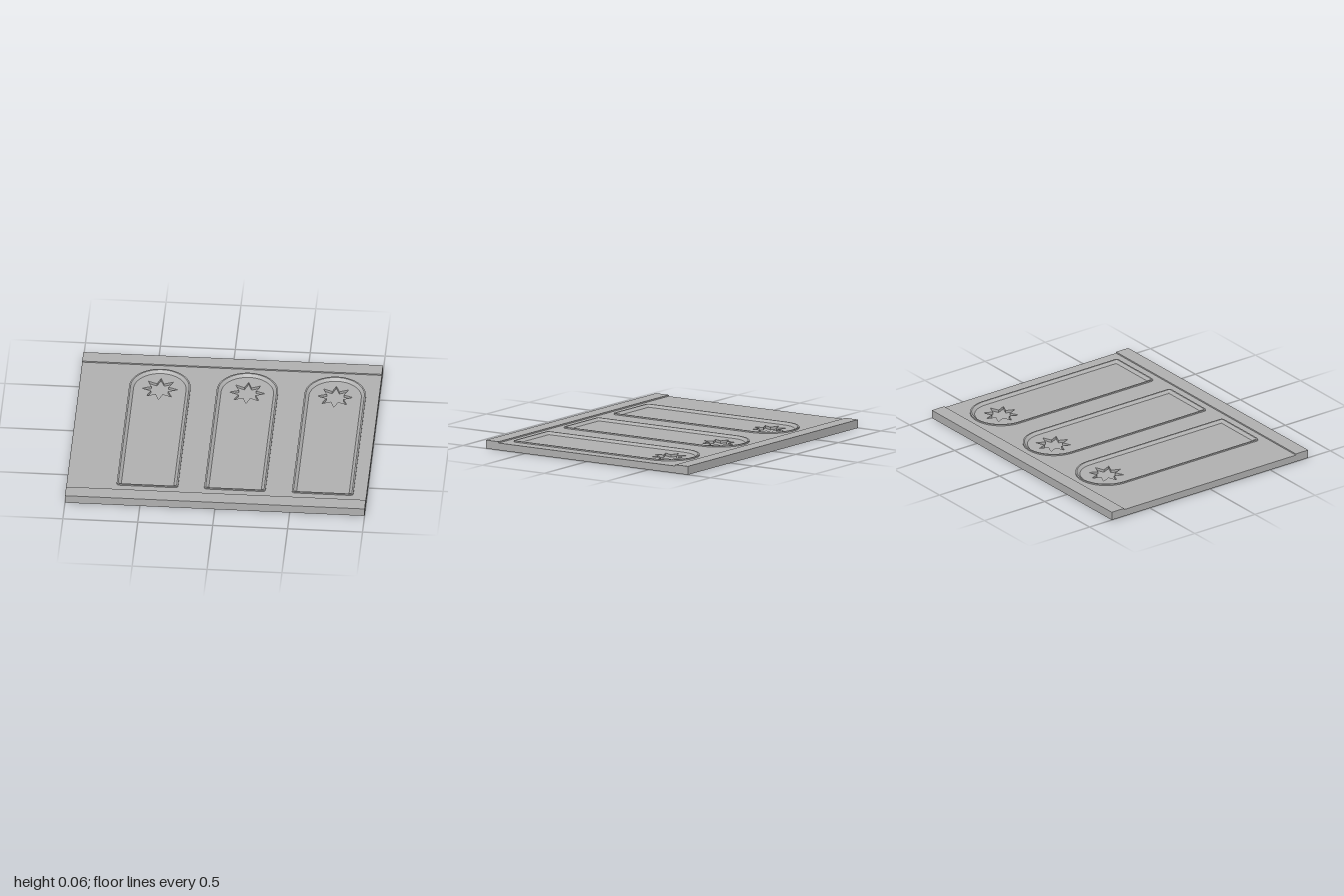
import * as THREE from 'three';

const HALF_X = 1, HALF_Z = 0.816, RAIL_Z = 0.714;
const PIT_Y = 0.022, FLOOR_Y = 0.04, FIELD_Y = 0.048, TOP_Y = 0.057;
const ARCH_X = [-0.463, 0.121, 0.707];
const ARCH_HALF = 0.205, ARCH_Z = 0.461, ARCH_END = -0.658;

// Arched outline, counter-clockwise in plan (y of the plan = -z), inset by d
function archOutline(cx, d) {
  const w = ARCH_HALF - d, end = ARCH_END + d, r = Math.max(0.02 - d, 0.0005);
  const pts = [];
  const arc = (x, y, radius, from, to, n) => {
    for (let i = 0; i <= n; i++) {
      const a = from + (to - from) * i / n;
      pts.push(new THREE.Vector2(x + radius * Math.cos(a), y + radius * Math.sin(a)));
    }
  };
  arc(cx, ARCH_Z, w, 0, Math.PI, 32);
  arc(cx - w + r, end + r, r, Math.PI, Math.PI * 1.5, 4);
  arc(cx + w - r, end + r, r, Math.PI * 1.5, Math.PI * 2, 4);
  return pts;
}

// Eight-pointed star in plan
function starOutline(cx) {
  return Array.from({ length: 16 }, (_, i) => {
    const r = i % 2 ? 0.062 : 0.119, a = i * Math.PI / 8;
    return new THREE.Vector2(cx + r * Math.cos(a), ARCH_Z + r * Math.sin(a));
  });
}

// Plate lying flat between two heights, with optional holes
function plate(outline, holes, y0, y1) {
  const shape = new THREE.Shape(outline);
  shape.holes = holes.map((h) => new THREE.Path(h));
  const geo = new THREE.ExtrudeGeometry(shape, { depth: y1 - y0, bevelEnabled: false });
  return geo.rotateX(-Math.PI / 2).translate(0, y0, 0);
}

// Raised molding: upright outer wall, narrow flat crest, slope down to the panel
function moldingGeometry(cx) {
  const rings = [[0, FIELD_Y - 0.002], [0, TOP_Y], [0.01, TOP_Y], [0.03, FLOOR_Y]]
    .map(([d, y]) => archOutline(cx, d).map((p) => [p.x, y, -p.y]));
  const pos = [];
  for (let k = 0; k < rings.length - 1; k++) {
    const lo = rings[k], hi = rings[k + 1], n = lo.length;
    for (let i = 0; i < n; i++) {
      const j = (i + 1) % n;
      pos.push(...lo[i], ...lo[j], ...hi[j], ...lo[i], ...hi[j], ...hi[i]);
    }
  }
  const geo = new THREE.BufferGeometry();
  geo.setAttribute('position', new THREE.Float32BufferAttribute(pos, 3));
  geo.computeVertexNormals();
  return geo;
}

export function createModel() {
  const group = new THREE.Group();
  const stone = new THREE.MeshStandardMaterial({ color: 0xb0b0b0 });
  stone.name = 'plain grey';
  const add = (name, geo) => {
    const mesh = new THREE.Mesh(geo, stone);
    mesh.name = name;
    group.add(mesh);
    return mesh;
  };

  // Backing slab, also the bottom of the star recesses
  add('backing', new THREE.BoxGeometry(HALF_X * 2, PIT_Y, HALF_Z * 2)).position.y = PIT_Y / 2;

  // Field between the rails, pierced by the three arches
  const field = [[-1, -1], [1, -1], [1, 1], [-1, 1]]
    .map(([x, y]) => new THREE.Vector2(x * HALF_X, y * RAIL_Z));
  add('field', plate(field, ARCH_X.map((x) => archOutline(x, 0)), PIT_Y, FIELD_Y));

  // Raised rails along the front and back edges
  for (const [side, name] of [[1, 'frontRail'], [-1, 'backRail']]) {
    const rail = add(name, new THREE.BoxGeometry(HALF_X * 2, TOP_Y - PIT_Y, HALF_Z - RAIL_Z));
    rail.position.set(0, (TOP_Y + PIT_Y) / 2, side * (HALF_Z + RAIL_Z) / 2);
  }

  // Arched panels with a sunken star, each framed by a molding
  ARCH_X.forEach((x, i) => {
    add(`archPanel${i + 1}`, plate(archOutline(x, 0.03), [starOutline(x)], PIT_Y, FLOOR_Y));
    add(`archMolding${i + 1}`, moldingGeometry(x));
  });

  return group;
}
